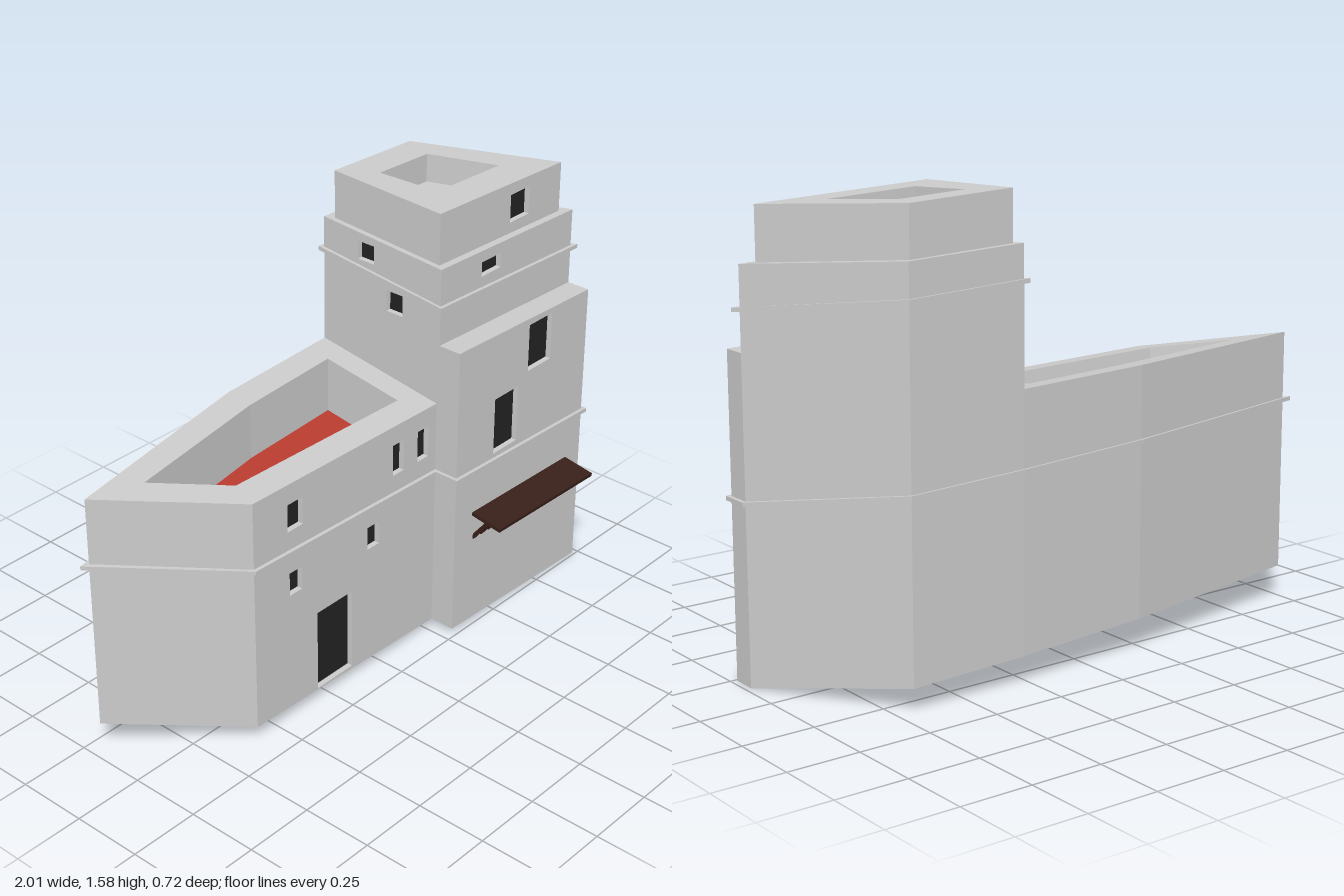
import * as THREE from 'three';

const mat = (color) => new THREE.MeshStandardMaterial({ color, flatShading: true, side: THREE.DoubleSide });
const stone = mat(0xcccccc), dark = mat(0x222222), red = mat(0xb93c30), wood = mat(0x38201a);

// Sloping heights as functions of plan position: the building follows a hillside
const slope = (y0, sx, sz) => (x, z) => y0 - sx * x - sz * (Math.min(z, 0.15) - 0.15);
const ground = slope(0.04, 0.036, 0.145);
const houseTop = slope(0.899, 0.02, 0.147);
const houseFloor = slope(0.7, 0.02, 0.147);
const belt = slope(0.637, 0.036, 0.145);
const annexTop = slope(1.122, 0.038, 0);
const upperBelt = slope(1.252, 0.04, 0.11);
const shaftTop = slope(1.395, 0.036, 0.07);
const crownTop = slope(1.577, 0.04, 0.045);
const crownFloor = slope(1.477, 0.04, 0.045);

// Plan outlines as [x, z], front edge running from -x to +x
const house = [[-0.98, -0.185], [-0.6, 0.148], [0.28, 0.148], [0.28, -0.35], [-0.22, -0.32]];
const houseRim = [[-0.78, -0.135], [-0.57, 0.05], [0.19, 0.055], [0.19, -0.255], [-0.22, -0.225]];
const housePit = [[-0.78, -0.135], [-0.57, 0.025], [0.19, 0.03], [0.19, -0.255], [-0.22, -0.225]];
const annex = [[0.28, 0.148], [0.28, 0.24], [0.98, 0.24], [0.98, 0.155]];
const shaft = [[0.28, 0.155], [0.98, 0.155], [0.7, -0.345], [0.28, -0.35]];
const crown = [[0.3, 0.13], [0.935, 0.13], [0.68, -0.32], [0.3, -0.32]];
const crownPit = [[0.43, 0.01], [0.75, 0.01], [0.64, -0.21], [0.4, -0.21]];
const perimeter = [house[0], house[1], annex[0], annex[1], annex[2], annex[3], shaft[2], shaft[3], house[4]];

const ring = (plan, h) => plan.map(([x, z]) => [x, h(x, z), z]);

function add(parent, name, geometry, material) {
  const mesh = new THREE.Mesh(geometry, material);
  mesh.name = name;
  parent.add(mesh);
  return mesh;
}

// Skin closed rings together, optionally filling the last (convex) ring
function loft(rings, cap = false) {
  const v = [];
  const n = rings[0].length;
  for (let k = 0; k + 1 < rings.length; k++) {
    for (let i = 0; i < n; i++) {
      const j = (i + 1) % n;
      const [a, b, c, d] = [rings[k][i], rings[k][j], rings[k + 1][j], rings[k + 1][i]];
      v.push(...a, ...b, ...c, ...a, ...c, ...d);
    }
  }
  const last = rings[rings.length - 1];
  if (cap) for (let i = 1; i + 1 < n; i++) v.push(...last[0], ...last[i], ...last[i + 1]);
  const g = new THREE.BufferGeometry();
  g.setAttribute('position', new THREE.Float32BufferAttribute(v, 3));
  g.computeVertexNormals();
  return g;
}

// Move an outline outwards by d with mitred corners
function grow(plan, d) {
  const n = plan.length;
  const normal = (p, q) => new THREE.Vector2(p[1] - q[1], q[0] - p[0]).normalize();
  return plan.map((p, i) => {
    const a = normal(plan[(i + n - 1) % n], p), b = normal(p, plan[(i + 1) % n]);
    const k = d / (1 + a.dot(b));
    return [p[0] + (a.x + b.x) * k, p[1] + (a.y + b.y) * k];
  });
}

// Flat wall from p to q; openings are [distance along wall, centre y, width, height]
function wall(parent, name, p, q, bottom, top, openings = []) {
  const length = Math.hypot(q[0] - p[0], q[1] - p[1]);
  const group = new THREE.Group();
  group.name = name;
  group.position.set(p[0], 0, p[1]);
  group.rotation.y = -Math.atan2(q[1] - p[1], q[0] - p[0]);
  parent.add(group);
  const shape = new THREE.Shape([[0, bottom(...p)], [length, bottom(...q)], [length, top(...q)], [0, top(...p)]]
    .map(([x, y]) => new THREE.Vector2(x, y)));
  for (const [u, y, w, h] of openings) {
    const rect = [[u - w / 2, y - h / 2], [u + w / 2, y - h / 2], [u + w / 2, y + h / 2], [u - w / 2, y + h / 2]];
    shape.holes.push(new THREE.Path(rect.map(([a, b]) => new THREE.Vector2(a, b))));
    const at = (z) => rect.map(([a, b]) => [a, b, z]);
    add(group, 'openingReveal', loft([at(0), at(-0.02)]), stone);
    add(group, 'openingPanel', new THREE.PlaneGeometry(w, h).translate(u, y, -0.02), dark);
  }
  add(group, 'wallFace', new THREE.ShapeGeometry(shape), stone);
}

// Thin projecting stone course
function course(parent, name, plan, h) {
  const out = grow(plan, 0.013);
  const up = (x, z) => h(x, z) + 0.014;
  add(parent, name, loft([ring(plan, h), ring(out, h), ring(out, up), ring(plan, up)]), stone);
}

export function createModel() {
  const model = new THREE.Group();
  model.name = 'hillsideTowerHouse';

  // Low wing: outer walls, parapet and sunken red roof
  const wing = new THREE.Group();
  wing.name = 'lowWing';
  model.add(wing);
  const wingOpenings = [[-0.41, 0.785, 0.07, 0.1], [0.088, 0.77, 0.055, 0.115], [0.213, 0.768, 0.055, 0.115],
    [-0.41, 0.535, 0.058, 0.085], [-0.035, 0.527, 0.058, 0.085], [-0.225, 0.208, 0.17, 0.302]]
    .map(([x, ...rest]) => [x - house[1][0], ...rest]);
  wall(wing, 'endWall', house[0], house[1], ground, houseTop);
  wall(wing, 'frontWall', house[1], house[2], ground, houseTop, wingOpenings);
  wall(wing, 'backWall', house[3], house[4], ground, houseTop);
  wall(wing, 'backWall', house[4], house[0], ground, houseTop);
  add(wing, 'parapet', loft([ring(house, houseTop), ring(houseRim, houseTop), ring(housePit, houseFloor)]), stone);
  add(wing, 'redRoof', loft([ring(housePit, houseFloor)], true), red);

  // Front annex of the tower
  const bay = new THREE.Group();
  bay.name = 'frontAnnex';
  model.add(bay);
  wall(bay, 'leftWall', annex[0], annex[1], ground, annexTop);
  wall(bay, 'frontWall', annex[1], annex[2], ground, annexTop,
    [[0.435, 0.985, 0.125, 0.175], [0.26, 0.755, 0.125, 0.21]]);
  wall(bay, 'rightWall', annex[2], annex[3], ground, annexTop);
  add(bay, 'annexRoof', loft([ring(annex, annexTop)], true), stone);

  // Tower shaft
  const tower = new THREE.Group();
  tower.name = 'tower';
  model.add(tower);
  wall(tower, 'frontWall', shaft[0], shaft[1], annexTop, shaftTop, [[0.26, 1.31, 0.1, 0.052]]);
  wall(tower, 'rightWall', shaft[1], shaft[2], ground, shaftTop);
  wall(tower, 'backWall', shaft[2], shaft[3], ground, shaftTop);
  wall(tower, 'leftWall', shaft[3], shaft[0], houseFloor, shaftTop,
    [[0.185, 1.345, 0.07, 0.065], [0.31, 1.2, 0.07, 0.075]]);
  add(tower, 'shaftLedge', loft([ring(shaft, shaftTop), ring(crown, shaftTop)]), stone);

  // Set-back top storey with a sunken roof
  crown.forEach((p, i) => wall(tower, 'crownWall', p, crown[(i + 1) % 4], shaftTop, crownTop,
    i === 0 ? [[0.415, 1.46, 0.1, 0.1]] : []));
  add(tower, 'crownParapet', loft([ring(crown, crownTop), ring(crownPit, crownTop), ring(crownPit, crownFloor)], true), stone);

  // Stone courses
  course(model, 'lowerCourse', perimeter, belt);
  course(model, 'upperCourse', shaft, upperBelt);

  // Wooden canopy on slanted struts
  const canopy = new THREE.Group();
  canopy.name = 'canopy';
  canopy.position.set(0.635, 0.44, 0.24);
  canopy.rotation.z = -0.025;
  model.add(canopy);
  const board = add(canopy, 'canopyBoard', new THREE.BoxGeometry(0.525, 0.013, 0.122), wood);
  board.position.set(0, 0.002, 0.06);
  board.rotation.x = 0.16;
  for (let i = 0; i < 13; i++) {
    const strut = add(canopy, 'canopyStrut', new THREE.BoxGeometry(0.014, 0.108, 0.014), wood);
    strut.position.set(-0.246 + i * 0.041, -0.045, 0.03);
    strut.rotation.x = 0.66;
  }
  return model;
}
